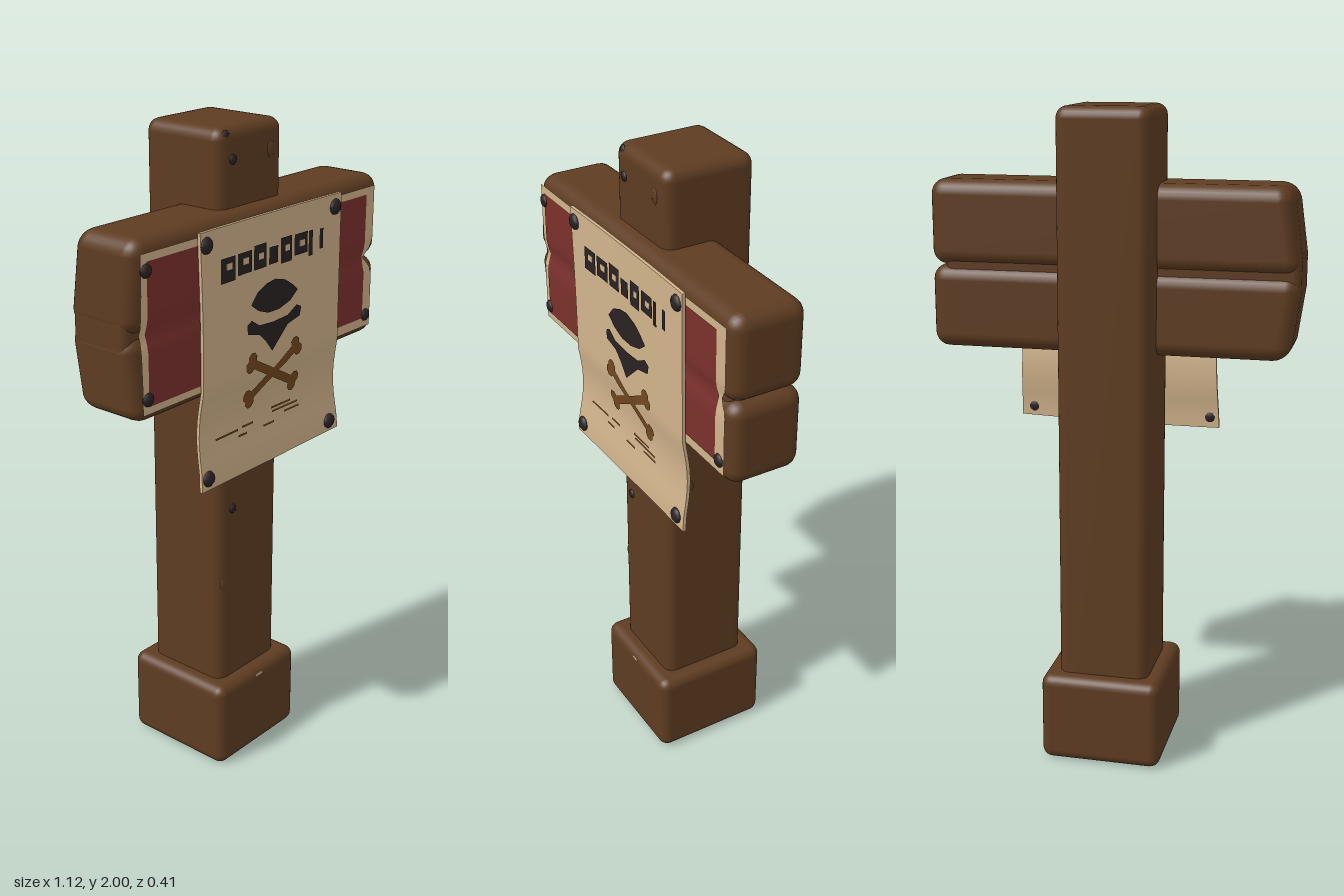
import * as THREE from 'three';
import { RoundedBoxGeometry } from 'three/addons/geometries/RoundedBoxGeometry.js';

const material = (name, color) => {
  const m = new THREE.MeshStandardMaterial({ color });
  m.name = name;
  return m;
};

// Apply fn(vertex) to every vertex of a geometry
function bend(geometry, fn, renormal = true) {
  const p = geometry.attributes.position, v = new THREE.Vector3();
  for (let i = 0; i < p.count; i++) {
    v.fromBufferAttribute(p, i);
    fn(v);
    p.setXYZ(i, v.x, v.y, v.z);
  }
  if (renormal) geometry.computeVertexNormals();
  return geometry;
}

// Front surface of the hanging paper sheet
function paperZ(x, y) {
  const sag = y < 1.3 ? Math.sin(Math.PI * (1.3 - y) / 0.24) * (y > 1.06 ? 0.014 : 0.006) : 0;
  return 0.184 + 0.004 * (x / 0.3) ** 2 - sag;
}

export function createModel() {
  const wood = material('wood', 0x5e3c21);
  const cream = material('parchment', 0xd2b48c);
  const red = material('red paint', 0x7b312d);
  const dark = material('dark iron and ink', 0x2a2223);
  const brown = material('brown ink', 0x74491f);
  const group = new THREE.Group();
  group.name = 'signpost';

  const add = (name, geometry, mat) => {
    const mesh = new THREE.Mesh(geometry, mat);
    mesh.name = name;
    group.add(mesh);
    return mesh;
  };
  // Rounded block given by its extents
  const block = (x0, x1, y0, y1, z0, z1, r) =>
    new RoundedBoxGeometry(x1 - x0, y1 - y0, z1 - z0, 3, r)
      .translate((x0 + x1) / 2, (y0 + y1) / 2, (z0 + z1) / 2);

  // Post and foot
  add('post', block(-0.14, 0.14, 0.05, 2, -0.158, 0.123, 0.035), wood);
  add('foot', block(-0.187, 0.187, 0, 0.28, -0.205, 0.17, 0.032), wood);
  add('footChip', new THREE.BoxGeometry(0.03, 0.01, 0.004).translate(0, 0.257, 0.167), cream);

  // Two planks with a groove between them and a bowed end
  const bow = v => {
    if (v.x < -0.4) v.x += 0.035 * ((v.y - 1.522) / 0.25) ** 2;
  };
  [[1.27, 1.522], [1.522, 1.778]].forEach(([y0, y1], i) =>
    add(i ? 'upperPlank' : 'lowerPlank', bend(block(-0.56, 0.558, y0, y1, -0.055, 0.172, 0.045), bow, false), wood));
  add('plankCore', block(-0.558, 0.517, 1.46, 1.58, -0.04, 0.155, 0.025), wood);

  // Painted panels that follow the groove
  function panel(name, x0, x1, y0, y1, z, mat, notchSide = 0) {
    const g = new THREE.PlaneGeometry(x1 - x0, y1 - y0, 4, 16).translate((x0 + x1) / 2, (y0 + y1) / 2, z);
    const edge = x1;
    bend(g, v => {
      const near = Math.max(0, 1 - Math.abs(v.y - 1.522) / 0.04);
      v.z -= 0.012 * near;
      if (notchSide && Math.abs(v.x - edge) < 1e-4) v.x -= 0.032 * near;
    });
    add(name, g, mat);
  }
  panel('rightBorder', -0.512, -0.27, 1.3, 1.744, 0.1745, cream);
  panel('rightRedPanel', -0.49, -0.27, 1.322, 1.722, 0.1765, red);
  panel('leftBorder', 0.3, 0.524, 1.3, 1.744, 0.1745, cream, 1);
  panel('leftRedPanel', 0.3, 0.482, 1.33, 1.722, 0.1765, red);

  // Paper sheet, slightly curled with uneven edges
  const sheet = new THREE.BoxGeometry(0.63, 0.755, 0.01, 10, 28, 1).translate(0.02, 1.3805, 0);
  const sheetIndexed = bend(sheet, v => {
    const side = (v.x - 0.02) / 0.315, low = (1.758 - v.y) / 0.755;
    const z = v.z;
    v.x += side > 0 ? side * 0.012 * low ** 3 : -side * 0.012 * Math.sin(Math.PI * low);
    v.y += 0.008 * Math.max(0, side) * low;
    v.z = paperZ(v.x, v.y) + z - 0.005;
  });
  add('paper', sheetIndexed, cream);

  // Flat ink marks lying on the paper
  const onPaper = g => bend(g, v => { v.z = paperZ(v.x, v.y) + 0.003; });
  const ink = (name, points, mat) =>
    add(name, onPaper(new THREE.ShapeGeometry(new THREE.Shape(points.map(p => new THREE.Vector2(...p))))), mat);
  const stroke = (name, x, y, w, h, mat, angle = 0) =>
    add(name, onPaper(new THREE.PlaneGeometry(w, h, 8, 1).rotateZ(angle).translate(x, y, 0)), mat);

  // Row of abstract worn ink patches
  [[-0.18, 0.062, 0.07], [-0.108, 0.062, 0.062], [-0.04, 0.055, 0.07], [0.02, 0.04, 0.05],
    [0.078, 0.05, 0.075], [0.145, 0.06, 0.062], [0.19, 0.018, 0.075], [0.24, 0.016, 0.06]]
    .forEach(([x, w, h], i) => {
      stroke('inkPatch', x, 1.638 + (i % 3 - 1) * 0.004, w, h, dark);
      if (w > 0.045) add('inkPatchGap', new THREE.BoxGeometry(w * 0.4, 0.018, 0.003)
        .translate(x + 0.004, 1.643, paperZ(x, 1.64) + 0.003), cream);
    });

  // Emblem: pointed oval above a winged wedge
  ink('emblemOval', [[-0.078, 1.508], [-0.05, 1.54], [-0.01, 1.557], [0.03, 1.562], [0.075, 1.55], [0.11, 1.528],
    [0.134, 1.508], [0.1, 1.482], [0.05, 1.468], [0, 1.468], [-0.045, 1.484]], dark);
  ink('emblemWedge', [[-0.095, 1.452], [-0.075, 1.462], [-0.04, 1.44], [0.025, 1.436], [0.09, 1.44], [0.13, 1.462],
    [0.152, 1.452], [0.146, 1.425], [0.09, 1.412], [0.055, 1.38], [0.02, 1.348], [-0.01, 1.385], [-0.04, 1.412],
    [-0.092, 1.425]], dark);

  // Crossed strokes with knobbed ends
  [1, -1].forEach(s => {
    const angle = s * 0.5;
    stroke('crossStroke', 0.03, 1.278, 0.25, 0.026, brown, angle);
    [1, -1].forEach(e => [1, -1].forEach(k => add('crossKnob', onPaper(new THREE.CircleGeometry(0.02, 8)
      .translate(0.118 * e, 0.012 * k, 0).rotateZ(angle).translate(0.03, 1.278, 0)), brown)));
  });

  // Faint lines near the lower edge
  [[-0.17, 1.14, 0.1], [-0.075, 1.143, 0.05], [0.08, 1.162, 0.09], [0.1, 1.15, 0.12], [0.13, 1.135, 0.07],
    [0.02, 1.118, 0.05], [-0.1, 1.12, 0.04]]
    .forEach(([x, y, w]) => stroke('inkLine', x, y, w, 0.006, brown));

  // Nails through paper, board and post
  const nail = (x, y, z, r) => {
    const m = add('nail', new THREE.SphereGeometry(r, 10, 6), dark);
    m.scale.z = 0.6;
    m.position.set(x, y, z);
  };
  [[-0.27, 1.72], [0.305, 1.72], [-0.265, 1.038], [0.305, 1.042]]
    .forEach(([x, y]) => nail(x, y, paperZ(x, y), 0.024));
  [[-0.492, 1.697], [-0.492, 1.343], [0.5, 1.338]].forEach(([x, y]) => nail(x, y, 0.174, 0.02));
  [[-0.085, 1.912], [-0.105, 1.978], [-0.08, 0.858]].forEach(([x, y]) => nail(x, y, y > 1.95 ? 0.113 : 0.122, 0.015));

  // Wood knots on the post
  [[0.08, 1.915, 0.12, 0.02], [-0.11, 0.61, 0.115, 0.022], [0.138, 0.99, 0.05, 0.018]].forEach(([x, y, z, r]) => {
    const m = add('knot', new THREE.SphereGeometry(r, 10, 8), wood);
    m.position.set(x, y, z);
    m.scale.set(x > 0.13 ? 0.4 : 0.8, 1.3, x > 0.13 ? 1 : 0.4);
  });

  return group;
}
